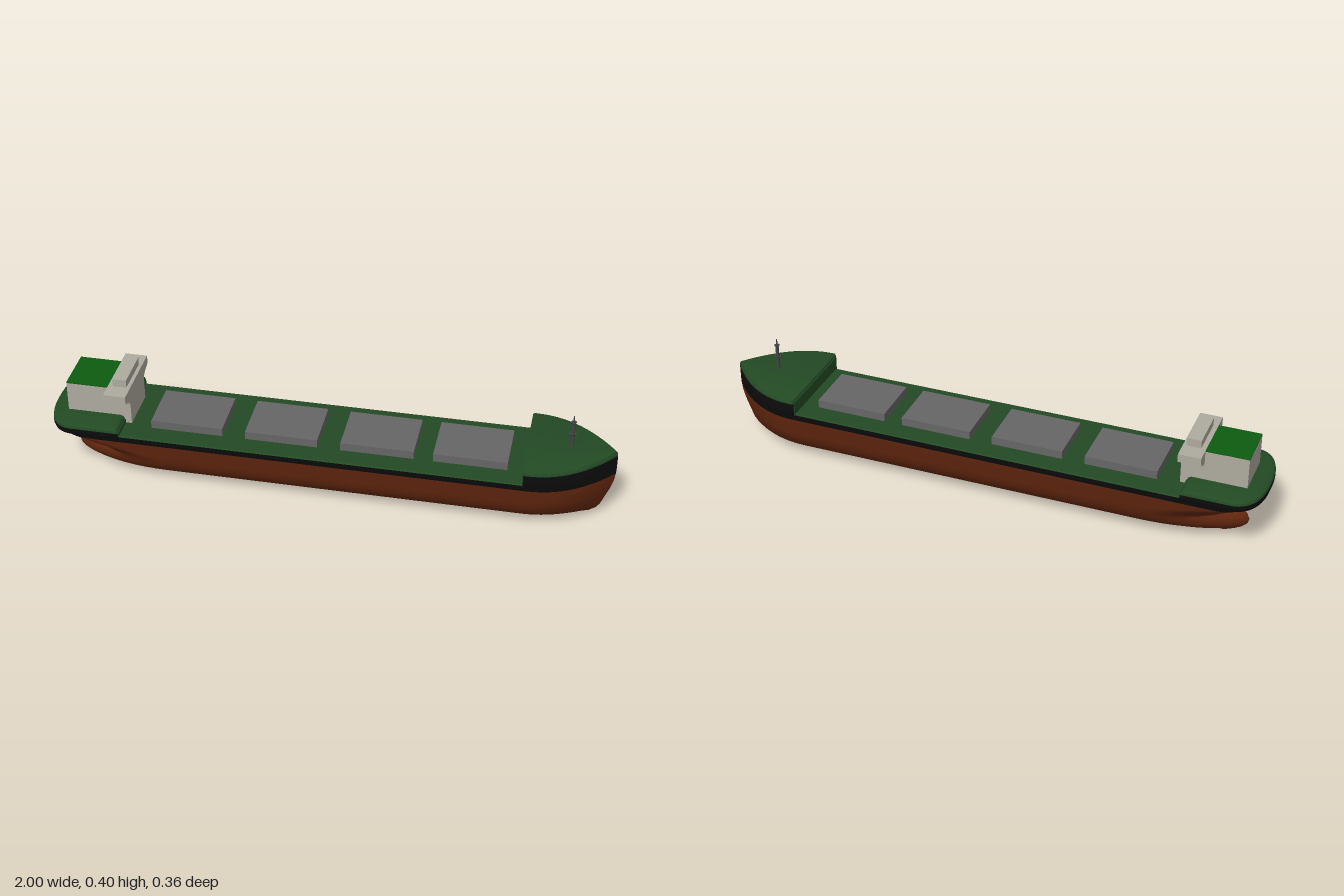
import * as THREE from 'three';
import { toCreasedNormals } from 'three/addons/utils/BufferGeometryUtils.js';

const material = (name, color) => {
  const m = new THREE.MeshStandardMaterial({ color });
  m.name = name;
  return m;
};

// Plan outline of one hull level: [y, halfBeam, sternX, bowX, sternRun, sternFullness, bowRun]
function outline([y, b, xs, xb, sr, q, br]) {
  const n = 18, mid = 6, side = [];
  for (let i = 0; i <= n; i++) {
    const u = Math.cos((Math.PI / 2) * (i / n));
    side.push([xs + sr * (1 - u), sr ? b * Math.pow(Math.max(0, 1 - Math.pow(u, 2.3)), q) : b]);
  }
  const x0 = xs + sr, x1 = xb - br;
  for (let i = 1; i < mid; i++) side.push([x0 + (x1 - x0) * i / mid, b]);
  for (let i = 0; i <= n; i++) {
    const u = i / n;
    side.push([x1 + br * u, br ? b * (1 - Math.pow(u, 2.2)) : b]);
  }
  const port = side.map(([x, w]) => [x, y, w]);
  const starboard = side.map(([x, w]) => [x, y, -w]).reverse();
  return [...port, ...starboard];
}

// Skin between stacked outlines, optionally closed on top
function loft(levels, cap) {
  const rings = levels.map(outline), m = rings[0].length, index = [];
  for (let k = 0; k + 1 < rings.length; k++) {
    for (let i = 0; i < m; i++) {
      const j = (i + 1) % m, a = k * m, c = a + m;
      index.push(a + i, a + j, c + j, a + i, c + j, c + i);
    }
  }
  if (cap) {
    const t = (rings.length - 1) * m;
    for (let i = 0; i + 1 < m / 2; i++) {
      const p = t + i, s = t + m - 1 - i;
      index.push(p, p + 1, s, p + 1, s - 1, s);
    }
  }
  const g = new THREE.BufferGeometry();
  g.setAttribute('position', new THREE.Float32BufferAttribute(rings.flat(2), 3));
  g.setIndex(index);
  return toCreasedNormals(g, 0.6);
}

export function createModel() {
  const ship = new THREE.Group();
  ship.name = 'cargoShip';
  const red = material('antifoulingRed', 0x64270f);
  const black = material('hullBlack', 0x0d0d0e);
  const green = material('deckGreen', 0x234a24);
  const roofGreen = material('roofGreen', 0x0e5c10);
  const grey = material('hatchGrey', 0x666666);
  const cream = material('houseCream', 0xaeaa9f);
  const dark = material('mastGrey', 0x434347);

  const add = (name, geometry, mat, x = 0, y = 0, z = 0) => {
    const mesh = new THREE.Mesh(geometry, mat);
    mesh.name = name;
    mesh.position.set(x, y, z);
    ship.add(mesh);
    return mesh;
  };
  // Box given by its extents
  const box = (name, mat, x0, x1, y0, y1, z0, z1) =>
    add(name, new THREE.BoxGeometry(x1 - x0, y1 - y0, z1 - z0), mat,
      (x0 + x1) / 2, (y0 + y1) / 2, (z0 + z1) / 2);

  // Underwater hull with stern bulb and raked stem
  add('lowerHull', loft([
    [0, 0, -0.85, 0.87, 0.3, 0.8, 0.22],
    [0.014, 0.05, -0.885, 0.92, 0.33, 0.8, 0.24],
    [0.029, 0.084, -0.912, 0.942, 0.35, 0.8, 0.26],
    [0.046, 0.11, -0.93, 0.955, 0.37, 0.8, 0.27],
    [0.065, 0.126, -0.936, 0.963, 0.38, 0.85, 0.28],
    [0.085, 0.138, -0.928, 0.971, 0.37, 0.9, 0.28],
    [0.1, 0.144, -0.907, 0.977, 0.34, 0.95, 0.28],
    [0.118, 0.15, -0.906, 0.984, 0.3, 0.85, 0.28],
    [0.138, 0.154, -0.922, 0.99, 0.26, 0.72, 0.29],
    [0.16, 0.159, -0.952, 0.996, 0.2, 0.6, 0.29],
    [0.185, 0.164, -0.983, 0.999, 0.14, 0.5, 0.3],
  ]), red);

  // Topsides and main deck
  add('upperHull', loft([
    [0.185, 0.164, -0.983, 0.999, 0.14, 0.5, 0.3],
    [0.199, 0.169, -0.995, 1, 0.12, 0.45, 0.3],
    [0.212, 0.172, -1, 1, 0.1, 0.4, 0.3],
  ]), black);
  add('mainDeck', loft([
    [0.212, 0.172, -1, 1, 0.1, 0.4, 0.3],
    [0.216, 0.168, -0.996, 0.996, 0.1, 0.4, 0.3],
  ], true), green);

  // Raised forecastle: black sides, rounded green deck, green aft wall
  add('forecastleSides', loft([
    [0.19, 0.163, 0.695, 0.999, 0, 1, 0.3],
    [0.212, 0.175, 0.695, 1, 0, 1, 0.3],
    [0.235, 0.179, 0.695, 1, 0, 1, 0.3],
    [0.26, 0.18, 0.695, 1, 0, 1, 0.3],
  ]), black);
  add('forecastleDeck', loft([
    [0.26, 0.18, 0.695, 1, 0, 1, 0.3],
    [0.27, 0.179, 0.697, 0.999, 0, 1, 0.3],
    [0.277, 0.174, 0.704, 0.994, 0, 1, 0.3],
    [0.281, 0.16, 0.718, 0.98, 0, 1, 0.29],
  ], true), green);
  box('forecastleWall', green, 0.692, 0.697, 0.212, 0.262, -0.174, 0.174);

  // Raised poop at the stern
  add('poopSides', loft([
    [0.19, 0.16, -0.985, -0.73, 0.12, 0.45, 0],
    [0.205, 0.174, -0.998, -0.73, 0.1, 0.4, 0],
    [0.215, 0.178, -1, -0.73, 0.1, 0.4, 0],
    [0.229, 0.178, -1, -0.73, 0.1, 0.4, 0],
  ]), black);
  add('poopDeck', loft([
    [0.229, 0.178, -1, -0.73, 0.1, 0.4, 0],
    [0.238, 0.176, -0.998, -0.732, 0.1, 0.4, 0],
    [0.243, 0.17, -0.992, -0.737, 0.1, 0.4, 0],
    [0.246, 0.16, -0.982, -0.745, 0.09, 0.4, 0],
  ], true), green);
  box('poopWall', green, -0.732, -0.727, 0.212, 0.231, -0.173, 0.173);

  // Cargo hatches
  for (const x of [-0.5, -0.16, 0.18, 0.505])
    box('cargoHatch', grey, x - 0.129, x + 0.129, 0.21, 0.246, -0.098, 0.098);

  // Deckhouse, roof and winged bridge
  box('deckhouse', cream, -0.936, -0.785, 0.215, 0.357, -0.084, 0.084);
  box('deckhouseRoof', roofGreen, -0.936, -0.785, 0.356, 0.36, -0.084, 0.084);
  const half = [[0.084, 0.21], [0.084, 0.295], [0.087, 0.306], [0.094, 0.314], [0.137, 0.33], [0.137, 0.36]];
  const front = [...half, ...half.map(([z, y]) => [-z, y]).reverse()];
  const wing = new THREE.ExtrudeGeometry(
    new THREE.Shape(front.map(([z, y]) => new THREE.Vector2(z, y))),
    { depth: 0.08, bevelEnabled: false });
  add('bridgeWings', wing, cream, -0.785).rotation.y = Math.PI / 2;
  box('wheelhouse', cream, -0.768, -0.718, 0.358, 0.389, -0.076, 0.076);

  // Foremast with lookout platform and top light
  const cylinder = (name, r0, r1, y0, y1) =>
    add(name, new THREE.CylinderGeometry(r1, r0, y1 - y0, 16), dark, 0.84, (y0 + y1) / 2, 0);
  cylinder('foremast', 0.007, 0.006, 0.275, 0.376);
  cylinder('mastPlatform', 0.01, 0.013, 0.328, 0.333);
  cylinder('mastCap', 0.008, 0.01, 0.374, 0.378);
  cylinder('mastPole', 0.003, 0.002, 0.376, 0.402);

  return ship;
}
